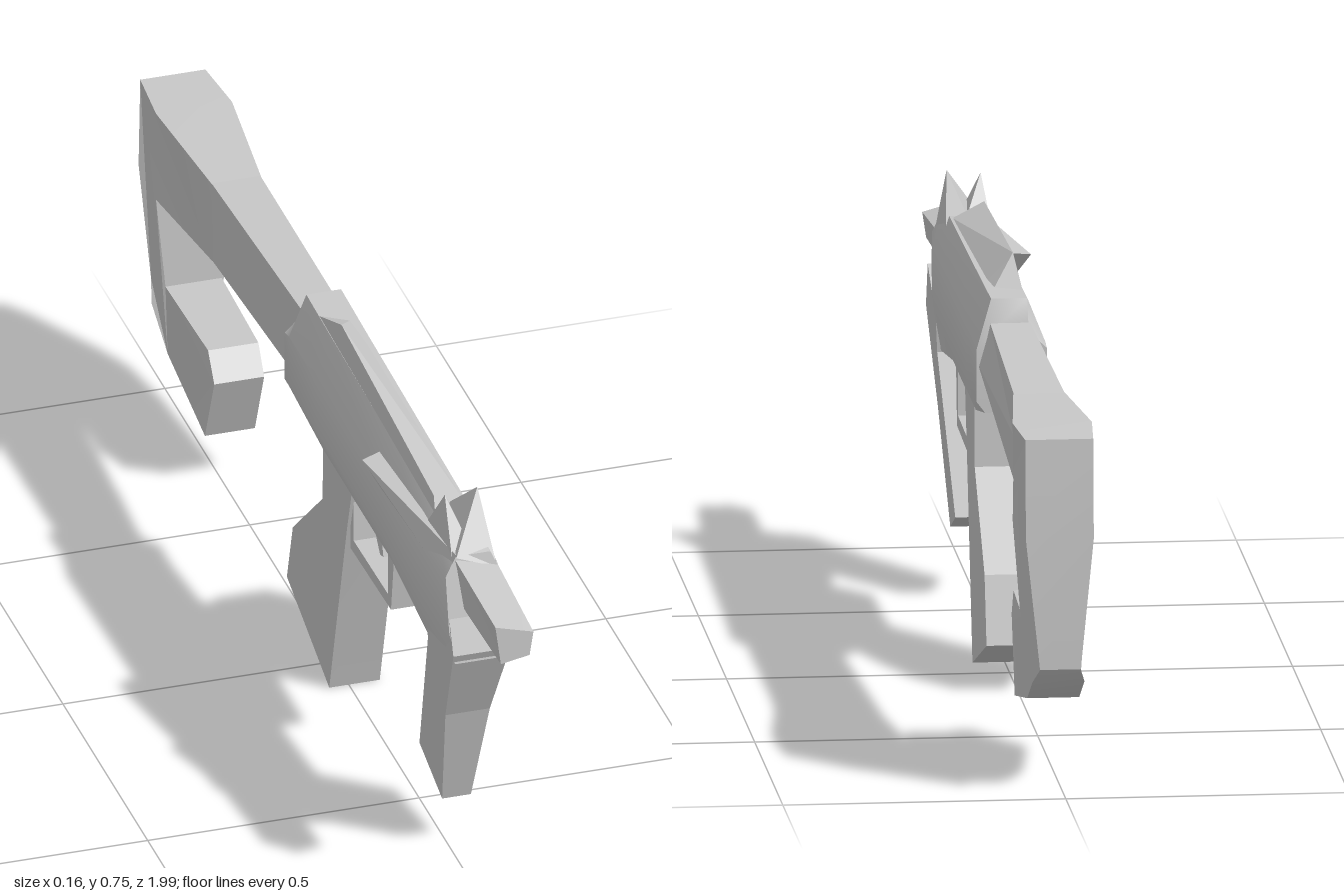
import * as THREE from 'three';
import { toCreasedNormals } from 'three/addons/utils/BufferGeometryUtils.js';
import { ConvexGeometry } from 'three/addons/geometries/ConvexGeometry.js';

const grey = new THREE.MeshStandardMaterial({ color: 0xc8c8c8 });
grey.name = 'light grey';

function part(group, name, geometry, crease = 0.1) {
  const mesh = new THREE.Mesh(toCreasedNormals(geometry, crease), grey);
  mesh.name = name;
  group.add(mesh);
}

// Side outline of [z, y] points; width(z, y) gives the [low, high] x limits.
function slab(outline, width, holes = []) {
  const toVectors = (pts) => pts.map(([z, y]) => new THREE.Vector2(-z, y));
  const shape = new THREE.Shape(toVectors(outline));
  for (const hole of holes) shape.holes.push(new THREE.Path(toVectors(hole)));
  const geo = new THREE.ExtrudeGeometry(shape, { depth: 1, bevelEnabled: false });
  geo.rotateY(Math.PI / 2);
  const pos = geo.attributes.position;
  for (let i = 0; i < pos.count; i++) {
    const [a, b] = width(pos.getZ(i), pos.getY(i));
    pos.setX(i, pos.getX(i) > 0.5 ? b : a);
  }
  return geo;
}

// Closed skin through rings of [x, y, z], listed from back to front.
function loft(rings) {
  const n = rings[0].length;
  const index = [];
  for (let r = 0; r < rings.length - 1; r++) {
    for (let i = 0; i < n; i++) {
      const j = (i + 1) % n;
      const a = r * n + i, b = r * n + j;
      index.push(a, b, b + n, a, b + n, a + n);
    }
  }
  const last = (rings.length - 1) * n;
  for (let i = 1; i < n - 1; i++) {
    index.push(0, i + 1, i, last, last + i, last + i + 1);
  }
  const geo = new THREE.BufferGeometry();
  geo.setAttribute('position', new THREE.Float32BufferAttribute(rings.flat(2), 3));
  geo.setIndex(index);
  return geo;
}

const hull = (points) => new ConvexGeometry(points.map((p) => new THREE.Vector3(...p)));
const mix = THREE.MathUtils.lerp;
const ramp = (v, a, b) => THREE.MathUtils.clamp((v - a) / (b - a), 0, 1);

export function createModel() {
  const model = new THREE.Group();
  model.name = 'lowPolyProp';

  // Main housing: eight-sided, with rounded flanks and a slanted front
  const housing = [
    [-0.12, 0.5, 0.645], [-0.095, 0.495, 0.7], [0.06, 0.465, 0.695],
    [0.45, 0.465, 0.685], [0.66, 0.435, 0.68], [0.815, 0.46, 0.655],
  ].map(([z, low, high]) => {
    const front = z > 0.8;
    const side = front ? 0.012 : 0;
    const wide = Math.min(0.62, high - 0.03);
    return [
      [-0.035, low], [0.055, low], [0.07 - side, 0.52], [0.07 - side, wide],
      [0.042, high], [-0.022, high], [-0.054 + side, wide], [-0.054 + side, 0.52],
    ].map(([x, y]) => [x, y, front ? z - 0.2 * (y - 0.5) : z]);
  });
  part(model, 'housing', loft(housing), 0.7);

  // Front leg, narrowing towards its foot
  part(model, 'frontLeg', slab(
    [[0.83, 0.48], [0.75, 0.315], [0.69, 0.11], [0.565, 0.155], [0.67, 0.43], [0.66, 0.5], [0.8, 0.56]],
    (z, y) => {
      const t = ramp(y, 0.11, 0.48);
      return [mix(-0.017, -0.04, t), mix(0.036, 0.065, t)];
    },
  ));

  // Rear grip
  part(model, 'grip', slab(
    [[0.22, 0.48], [0.19, 0.385], [0.085, 0.003], [-0.165, 0.09], [-0.13, 0.21], [0.045, 0.365], [0.05, 0.48]],
    () => [-0.036, 0.057],
  ));

  // Loop between the leg and the grip, with its lever
  part(model, 'guard', slab(
    [[0.45, 0.48], [0.43, 0.352], [0.19, 0.345], [0.19, 0.48]],
    () => [-0.03, 0.05],
    [[[0.412, 0.466], [0.412, 0.374], [0.21, 0.37], [0.21, 0.466]]],
  ));
  part(model, 'lever', slab(
    [[0.28, 0.47], [0.305, 0.385], [0.285, 0.38], [0.215, 0.455], [0.215, 0.47]],
    () => [-0.005, 0.025],
  ));

  // Front tube, slightly skewed
  part(model, 'frontTube', loft([
    [[-0.015, 0.56, 0.72], [0.045, 0.575, 0.72], [0.055, 0.635, 0.72], [-0.025, 0.655, 0.72]],
    [[-0.005, 0.552, 0.998], [0.048, 0.562, 0.998], [0.055, 0.608, 0.998], [-0.015, 0.628, 0.998]],
  ]));

  // Neck: pointed on one side at the housing, square at the stock
  part(model, 'neck', loft([
    [[-0.037, 0.49, -0.61], [0.053, 0.49, -0.61], [0.053, 0.57, -0.61], [0.053, 0.645, -0.61], [-0.037, 0.645, -0.61]],
    [[-0.025, 0.51, -0.1], [0.035, 0.5, -0.1], [0.066, 0.585, -0.1], [0.045, 0.66, -0.1], [-0.025, 0.66, -0.1]],
  ]));

  // Hooked stock, widest near the back and narrower below
  part(model, 'stock', slab(
    [[-0.6, 0.645], [-0.86, 0.65], [-0.985, 0.648], [-0.995, 0.47], [-0.995, 0.235], [-0.96, 0.205],
      [-0.865, 0.155], [-0.645, 0.11], [-0.59, 0.245], [-0.625, 0.295], [-0.86, 0.295],
      [-0.86, 0.475], [-0.6, 0.49]],
    (z, y) => {
      const back = ramp(z, -0.6, -0.86);
      const low = ramp(y, 0.47, 0.24);
      const end = z < -0.97 ? 0.01 : 0;
      const left = mix(mix(-0.037, -0.06, back), -0.037, low);
      const right = mix(mix(0.053, 0.08, back), 0.055, low);
      return [left + end, right - end];
    },
  ), 0.5);

  // Wedge along the roof
  part(model, 'roofRidge', hull([
    [-0.02, 0.705, 0.65], [-0.015, 0.74, 0.09], [0.03, 0.692, 0], [0.038, 0.68, 0.63],
    [0.04, 0.686, 0.09], [-0.022, 0.69, -0.04], [-0.025, 0.66, 0.68],
  ]));

  // Two pointed crests above the front
  part(model, 'rightCrest', hull([
    [0.04, 0.748, 0.715], [0.053, 0.625, 0.79], [-0.022, 0.655, 0.79], [0.05, 0.66, 0.63], [0.01, 0.68, 0.64],
  ]));
  part(model, 'leftCrest', hull([
    [-0.02, 0.742, 0.715], [-0.027, 0.65, 0.78], [0.012, 0.66, 0.76], [-0.035, 0.65, 0.65], [0.01, 0.68, 0.65],
  ]));

  // Swept fin on one flank
  part(model, 'sideFin', hull([
    [-0.08, 0.66, 0.42], [-0.045, 0.665, 0.41], [-0.022, 0.66, 0.79],
    [-0.052, 0.61, 0.46], [-0.04, 0.61, 0.78],
  ]));

  return model;
}
